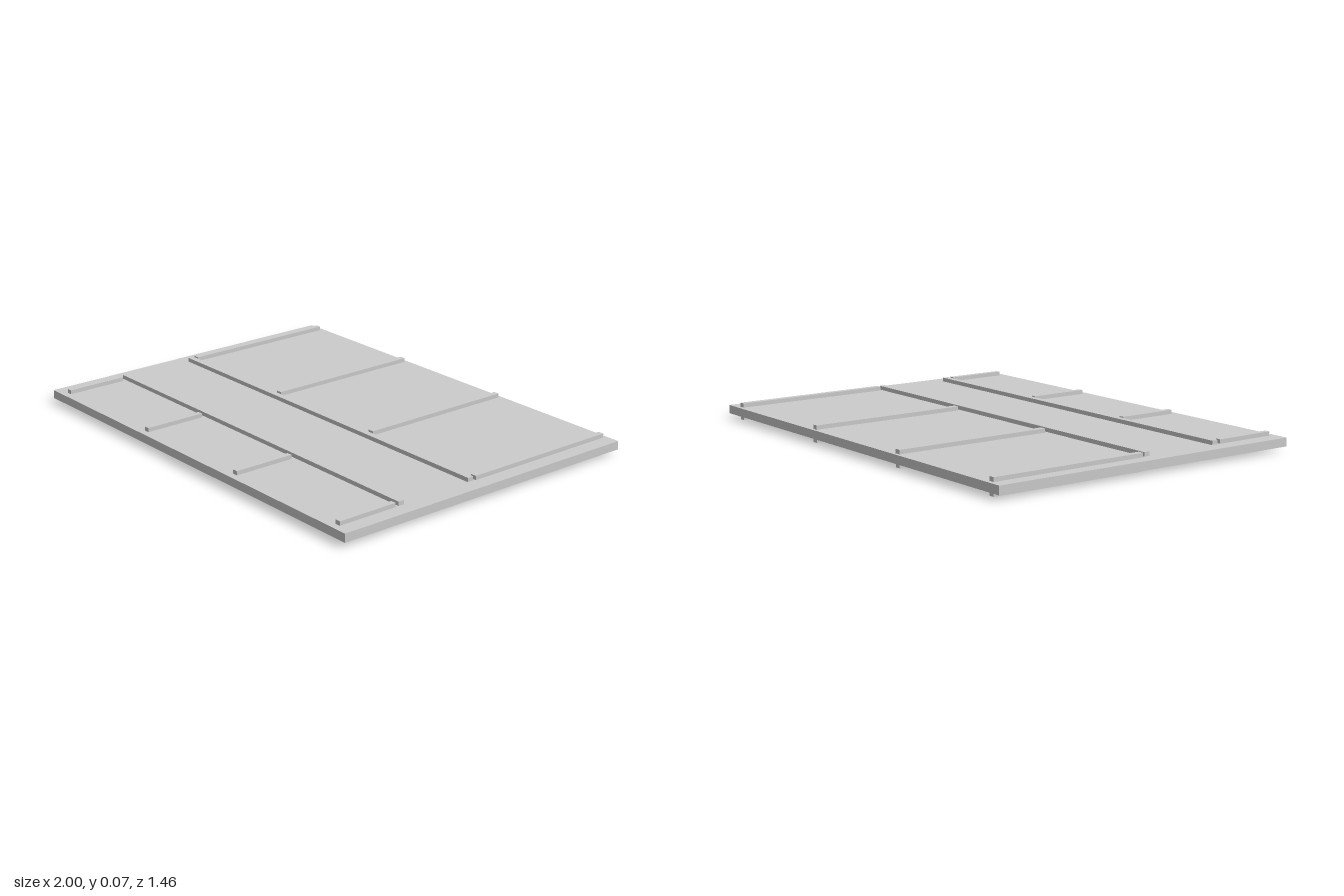
import * as THREE from 'three';

const material = new THREE.MeshStandardMaterial({ color: 0xcccccc });

// Box given by its extents on each axis
function addBox(parent, name, [x0, x1], [y0, y1], [z0, z1]) {
  const mesh = new THREE.Mesh(new THREE.BoxGeometry(x1 - x0, y1 - y0, z1 - z0), material);
  mesh.position.set((x0 + x1) / 2, (y0 + y1) / 2, (z0 + z1) / 2);
  mesh.name = name;
  parent.add(mesh);
}

export function createModel() {
  const model = new THREE.Group();
  model.name = 'battenedPanel';

  const slabY = [0.019, 0.056];
  const battenY = [0, 0.074];
  const halfDepth = 0.732;
  const paneZ = [0.067, 0.364];
  const paneCentres = [-0.6, 0, 0.6];
  const paneHalf = 0.2;

  // Slab with three rectangular openings, drawn in x and -z then laid flat
  const outline = new THREE.Shape([
    new THREE.Vector2(-1, -halfDepth), new THREE.Vector2(1, -halfDepth),
    new THREE.Vector2(1, halfDepth), new THREE.Vector2(-1, halfDepth),
  ]);
  for (const x of paneCentres) {
    outline.holes.push(new THREE.Path([
      new THREE.Vector2(x - paneHalf, -paneZ[0]), new THREE.Vector2(x + paneHalf, -paneZ[0]),
      new THREE.Vector2(x + paneHalf, -paneZ[1]), new THREE.Vector2(x - paneHalf, -paneZ[1]),
    ]));
  }
  const slabGeometry = new THREE.ExtrudeGeometry(outline, { depth: slabY[1] - slabY[0], bevelEnabled: false });
  slabGeometry.rotateX(-Math.PI / 2).translate(0, slabY[0], 0);
  const slab = new THREE.Mesh(slabGeometry, material);
  slab.name = 'slab';
  model.add(slab);

  // Flush panes filling the openings
  for (const x of paneCentres) {
    addBox(model, 'windowPane', [x - paneHalf, x + paneHalf], slabY, paneZ);
  }

  // Long rails above and below the panes, standing proud on both faces
  addBox(model, 'backRail', [-0.936, 0.928], battenY, [0.021, 0.048]);
  addBox(model, 'frontRail', [-0.931, 0.933], battenY, [0.384, 0.412]);

  // Long battens on the back field
  [-0.928, -0.318, 0.298, 0.92].forEach((x, i) => {
    const shift = i === 1 || i === 2 ? -0.004 : 0;
    addBox(model, 'backBatten', [x - 0.0135, x + 0.0135], battenY, [-0.713 + shift, 0.01 + shift]);
  });

  // Short battens on the front field
  for (const x of [-0.918, -0.321, 0.29, 0.922]) {
    addBox(model, 'frontBatten', [x - 0.012, x + 0.012], battenY, [0.428, 0.702]);
  }

  return model;
}
